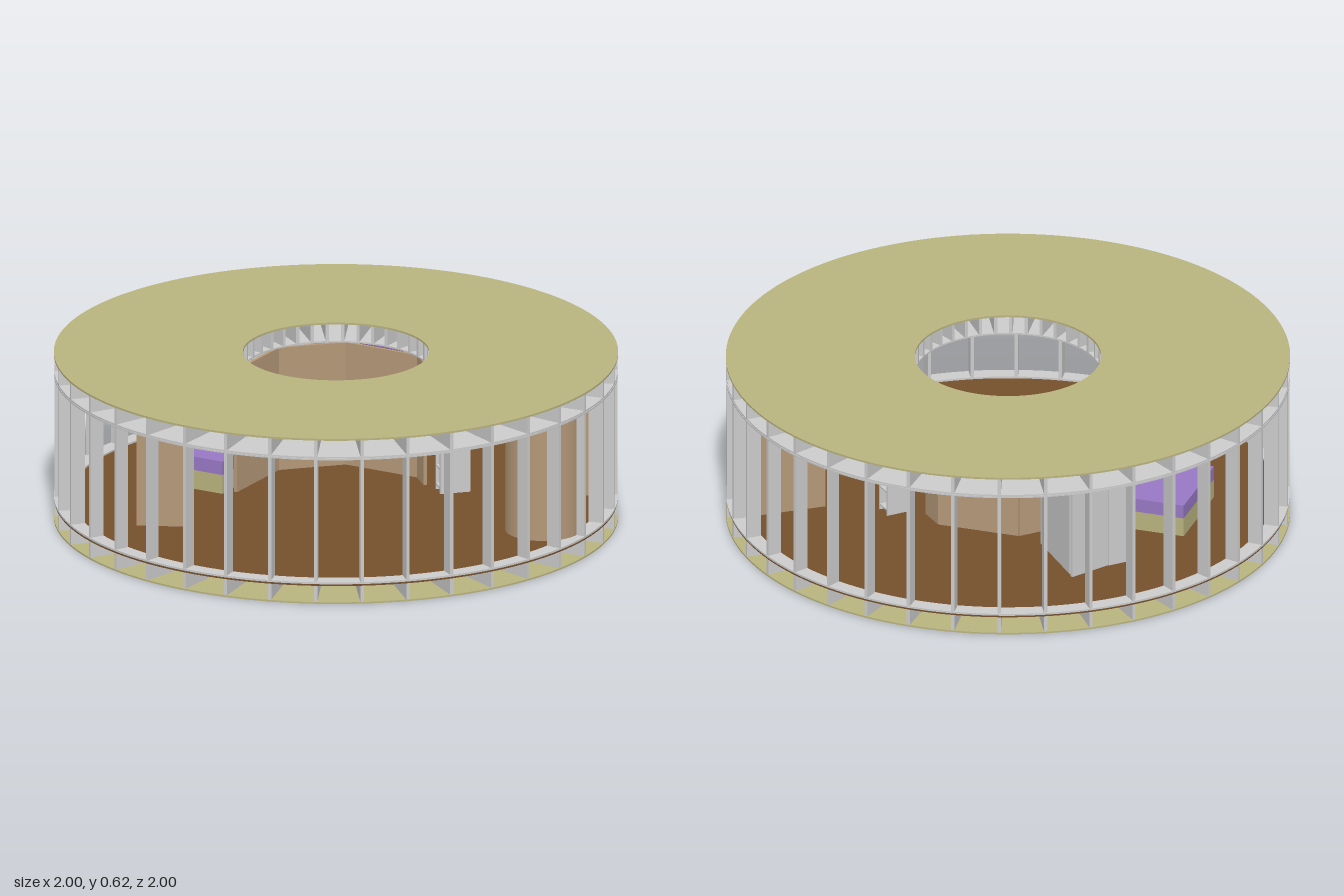
import * as THREE from 'three';

const mat = (color) => new THREE.MeshStandardMaterial({ color, side: THREE.DoubleSide });
const grey = mat(0xcccccc), olive = mat(0xb9b47f), brown = mat(0x75502c);
const tan = mat(0xb49878), purple = mat(0x9878c4);

const BAYS = 38, HOLE = 0.33, FLOOR = 0.08, CEIL = 0.535;

function add(parent, name, geometry, material, x = 0, y = 0, z = 0, turn = 0) {
  const mesh = new THREE.Mesh(geometry, material);
  mesh.name = name;
  mesh.position.set(x, y, z);
  mesh.rotation.y = turn;
  parent.add(mesh);
  return mesh;
}

const box = (parent, name, material, w, h, d, x, y, z, turn = 0) =>
  add(parent, name, new THREE.BoxGeometry(w, h, d), material, x, y, z, turn);

// Flat disc or ring between two heights
function disc(parent, name, material, inner, outer, y0, y1) {
  const shape = new THREE.Shape().absarc(0, 0, outer, 0, Math.PI * 2);
  if (inner > 0) shape.holes.push(new THREE.Path().absarc(0, 0, inner, 0, Math.PI * 2, true));
  const g = new THREE.ExtrudeGeometry(shape, { depth: y1 - y0, bevelEnabled: false, curveSegments: 76 });
  g.rotateX(-Math.PI / 2);
  return add(parent, name, g, material, 0, y0, 0);
}

// Full-height thin wall between two floor points
function wall(parent, name, material, x0, z0, x1, z1) {
  const length = Math.hypot(x1 - x0, z1 - z0);
  box(parent, name, material, length, CEIL - FLOOR, 0.012, (x0 + x1) / 2, (CEIL + FLOOR) / 2,
    (z0 + z1) / 2, -Math.atan2(z1 - z0, x1 - x0));
}

// Radial boards repeated around the centre
function radialBoards(parent, name, inner, outer, y0, y1) {
  const g = new THREE.BoxGeometry(0.012, y1 - y0, outer - inner);
  g.translate(0, (y0 + y1) / 2, (inner + outer) / 2);
  for (let i = 0; i < BAYS; i++) add(parent, name, g, grey, 0, 0, 0, (i / BAYS) * Math.PI * 2);
}

// Open shelf unit with two side panels
function shelves(parent, name, x, z, w, d, count) {
  const unit = new THREE.Group();
  unit.name = name;
  for (const side of [-1, 1])
    box(unit, 'shelfSide', grey, w, CEIL - FLOOR, 0.008, x, (CEIL + FLOOR) / 2, z + side * d / 2);
  for (let i = 0; i < count; i++)
    box(unit, 'shelf', grey, w, 0.006, d, x, FLOOR + 0.02 + (i * 0.42) / (count - 1), z);
  parent.add(unit);
}

// Spiral stair in a curved shell
function spiralStair() {
  const stair = new THREE.Group();
  stair.name = 'spiralStair';
  const deg = Math.PI / 180;
  const shell = new THREE.CylinderGeometry(0.135, 0.135, CEIL - FLOOR, 40, 1, true, 125 * deg, 290 * deg);
  add(stair, 'stairShell', shell, tan, 0, (CEIL + FLOOR) / 2, 0);
  add(stair, 'stairPole', new THREE.CylinderGeometry(0.008, 0.008, 0.51, 12), grey, 0, FLOOR + 0.255, 0);
  const steps = 14;
  for (let i = 0; i < steps; i++) {
    const tread = new THREE.CylinderGeometry(0.125, 0.125, 0.008, 4, 1, false, 0, 28 * deg);
    add(stair, 'stairTread', tread, grey, 0, FLOOR + 0.025 + i * 0.031, 0, (110 + i * 24) * deg);
  }
  stair.position.set(0.61, 0, 0.565);
  return stair;
}

export function createModel() {
  const house = new THREE.Group();
  house.name = 'roundHouse';

  // Floor deck
  disc(house, 'baseSheet', olive, 0, 1, 0, 0.006);
  radialBoards(house, 'floorJoist', 0.02, 0.998, 0.006, 0.066);
  disc(house, 'floor', brown, 0, 0.998, 0.066, 0.073);
  disc(house, 'bottomPlate', grey, 0.945, 1, 0.073, FLOOR);

  // Outer studs
  radialBoards(house, 'wallStud', 0.945, 0.998, FLOOR, CEIL);

  // Roof deck with a round opening
  disc(house, 'topPlate', grey, 0.945, 1, CEIL, 0.541);
  disc(house, 'ceiling', grey, HOLE, 0.998, 0.541, 0.547);
  radialBoards(house, 'roofJoist', HOLE, 0.998, 0.547, 0.608);
  disc(house, 'roof', olive, HOLE, 1, 0.608, 0.615);

  // Faceted wall around the back of the opening
  const core = [[-0.335, 0], [-0.335, -0.125], [-0.125, -0.335], [0.125, -0.335], [0.335, -0.125], [0.335, -0.03]];
  for (let i = 1; i < core.length - 1; i++) wall(house, 'coreWall', tan, ...core[i], ...core[i + 1]);

  // Radial partitions
  wall(house, 'rightPartition', tan, 0.63, 0.19, 0.94, 0.24);
  wall(house, 'leftPartition', tan, -0.6, 0.21, -0.77, 0.15);

  // Low bed and raised bed
  box(house, 'bedBase', olive, 0.34, 0.07, 0.35, -0.39, 0.115, -0.36, Math.PI / 4);
  box(house, 'mattress', purple, 0.34, 0.05, 0.35, -0.39, 0.175, -0.36, Math.PI / 4);
  box(house, 'loftBase', brown, 0.34, 0.05, 0.35, 0.385, 0.5, -0.365, Math.PI / 4);
  box(house, 'loftMattress', purple, 0.34, 0.01, 0.35, 0.385, 0.53, -0.365, Math.PI / 4);

  // Cupboards and shelves
  wall(house, 'cupboardBack', grey, 0.11, -0.72, -0.1, -0.68);
  wall(house, 'cupboardSide', grey, 0.1, -0.7, 0.08, -0.43);
  shelves(house, 'backShelves', -0.1, -0.65, 0.1, 0.09, 7);
  shelves(house, 'sideShelves', 0.415, 0.05, 0.11, 0.06, 7);

  house.add(spiralStair());
  return house;
}
